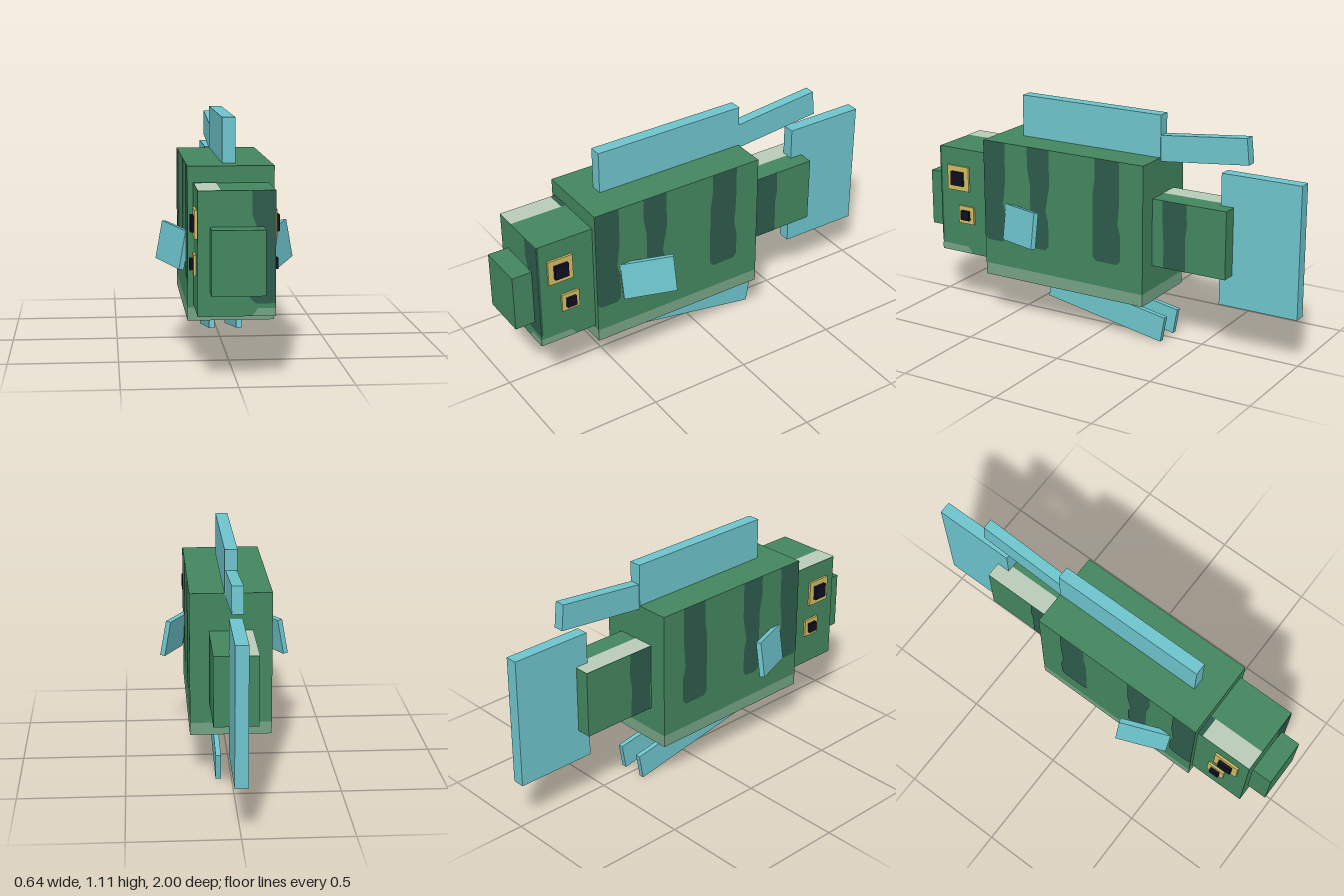
import * as THREE from 'three';

const mat = (name, color) => {
  const m = new THREE.MeshStandardMaterial({ color });
  m.name = name;
  return m;
};

export function createModel() {
  const green = mat('scale green', 0x43865e);
  const dark = mat('stripe green', 0x2d5b4b);
  const mid = mat('belly green', 0x75a384);
  const pale = mat('pale underside', 0xbacbb8);
  const cyan = mat('fin blue', 0x6dc4cc);
  const yellow = mat('eye yellow', 0xd0bb62);
  const black = mat('pupil black', 0x0e0e20);

  const model = new THREE.Group();
  model.name = 'fish';

  // Box from its minimum and maximum corners; the underside may differ
  const block = (name, min, max, material, under = material) => {
    const size = max.map((v, i) => v - min[i]);
    const mats = [material, material, material, under, material, material];
    const mesh = new THREE.Mesh(new THREE.BoxGeometry(...size), under === material ? material : mats);
    mesh.position.set(...max.map((v, i) => (v + min[i]) / 2));
    mesh.name = name;
    model.add(mesh);
    return mesh;
  };

  // Box about its centre, tilted by angles in degrees
  const fin = (name, size, centre, angles) => {
    const mesh = new THREE.Mesh(new THREE.BoxGeometry(...size), cyan);
    mesh.position.set(...centre);
    mesh.rotation.set(...angles.map(THREE.MathUtils.degToRad), 'ZYX');
    mesh.name = name;
    model.add(mesh);
  };

  // Flat painted patch; turn places the outline on a face
  const patch = (name, pts, material, turn) => {
    const shape = new THREE.Shape(pts.map(p => new THREE.Vector2(...p)));
    const mesh = new THREE.Mesh(turn(new THREE.ShapeGeometry(shape)), material);
    mesh.name = name;
    model.add(mesh);
  };
  // Outline given as [z, y] on the side face at x = s * x
  const sidePatch = (name, s, x, pts, material) =>
    patch(name, pts.map(([z, y]) => [-s * z, y]), material,
      g => g.rotateY(s * Math.PI / 2).translate(s * (x + 0.002), 0, 0));
  // Outline given as [x, z] on the top face at height y
  const topPatch = (name, y, pts, material) =>
    patch(name, pts.map(([x, z]) => [x, -z]), material,
      g => g.rotateX(-Math.PI / 2).translate(0, y + 0.002, 0));
  // Outline given as [x, y] on the front face at depth z
  const frontPatch = (name, z, pts, material) =>
    patch(name, pts, material, g => g.translate(0, 0, z + 0.002));

  // Body, head, snout and tail
  block('body', [-0.193, 0.275, -0.28], [0.193, 0.905, 0.615], green);
  block('belly', [-0.193, 0.215, -0.28], [0.193, 0.275, 0.615], mid, pale);
  block('head', [-0.167, 0.29, 0.6], [0.167, 0.83, 0.9], green, pale);
  block('snout', [-0.115, 0.395, 0.89], [0.115, 0.675, 1], green);
  block('tailBase', [-0.103, 0.395, -0.665], [0.103, 0.725, -0.27], green, pale);

  // Upright fins along the middle
  block('tailFin', [-0.03, 0.24, -1], [0.03, 0.88, -0.6], cyan);
  block('dorsalFin', [-0.03, 0.9, -0.28], [0.03, 1.11, 0.49], cyan);
  fin('rearDorsalFin', [0.052, 0.125, 0.47], [0, 0.972, -0.494], [6, 0, 0]);

  for (const s of [1, -1]) {
    const side = s > 0 ? 'left' : 'right';
    // Paired fins
    fin(side + 'BellyFin', [0.025, 0.127, 0.645], [s * 0.063, 0.123, -0.0075], [-10, 0, 0]);
    fin(side + 'SideFin', [0.025, 0.178, 0.25], [s * 0.246, 0.5185, 0.37], [0, s * -23, s * 10]);

    // Two eyes on each side: depth, height, half sizes of ring and pupil
    for (const [name, z, y, ring, pupil] of [
      ['UpperEye', 0.788, 0.678, 0.063, 0.035],
      ['LowerEye', 0.744, 0.493, 0.045, 0.024]]) {
      const plate = (part, x, h, m) =>
        block(side + name + part, [Math.min(s * 0.16, s * x), y - h, z - h],
          [Math.max(s * 0.16, s * x), y + h, z + h], m);
      plate('Ring', 0.178, ring, yellow);
      plate('Pupil', 0.193, pupil, black);
    }

    // Body stripes with slightly uneven edges
    for (const [front, back, sway] of [[0.615, 0.49, 0], [0.36, 0.235, -0.015], [-0.02, -0.155, 0.012]]) {
      const f = front + sway, b = back - sway / 2;
      sidePatch(side + 'BodyStripe', s, 0.193, [
        [front, 0.905], [front, 0.8], [f, 0.72], [f, 0.42], [f - 0.02, 0.4],
        [b + 0.02, 0.4], [b, 0.42], [b, 0.54], [b + 0.015, 0.6], [back, 0.72], [back, 0.905]], dark);
    }

    // Tail stripe
    const t = s > 0 ? -0.335 : -0.282;
    sidePatch(side + 'TailStripe', s, 0.103, [
      [t, 0.725], [t, 0.62], [t - 0.008, 0.5], [t - 0.005, 0.395],
      [t - 0.125, 0.395], [t - 0.12, 0.55], [t - 0.13, 0.62], [t - 0.125, 0.725]], dark);
  }

  // Head markings
  topPatch('headTopPatch', 0.83, [[-0.167, 0.64], [-0.065, 0.64], [-0.065, 0.9], [-0.167, 0.9]], pale);
  topPatch('headTopStripe', 0.83, [[-0.167, 0.615], [-0.065, 0.615], [-0.065, 0.64], [-0.167, 0.64]], dark);
  frontPatch('faceStripe', 0.9, [
    [0.167, 0.83], [0.065, 0.83], [0.065, 0.73], [0.09, 0.66], [0.075, 0.6],
    [0.06, 0.5], [0.055, 0.37], [0.08, 0.345], [0.167, 0.345]], dark);
  frontPatch('chinPatch', 0.9, [
    [0.167, 0.325], [0.09, 0.325], [0.065, 0.29], [0.167, 0.29]], mid);
  sidePatch('cheekPatch', 1, 0.167, [
    [0.9, 0.325], [0.745, 0.325], [0.725, 0.305], [0.725, 0.29], [0.9, 0.29]], mid);
  sidePatch('cheekStripe', 1, 0.167, [
    [0.9, 0.83], [0.9, 0.345], [0.89, 0.345], [0.89, 0.83]], dark);

  // Pale half of the tail top
  topPatch('tailTopPatch', 0.725, [[-0.103, -0.665], [0, -0.665], [0, -0.28], [-0.103, -0.28]], pale);

  return model;
}
